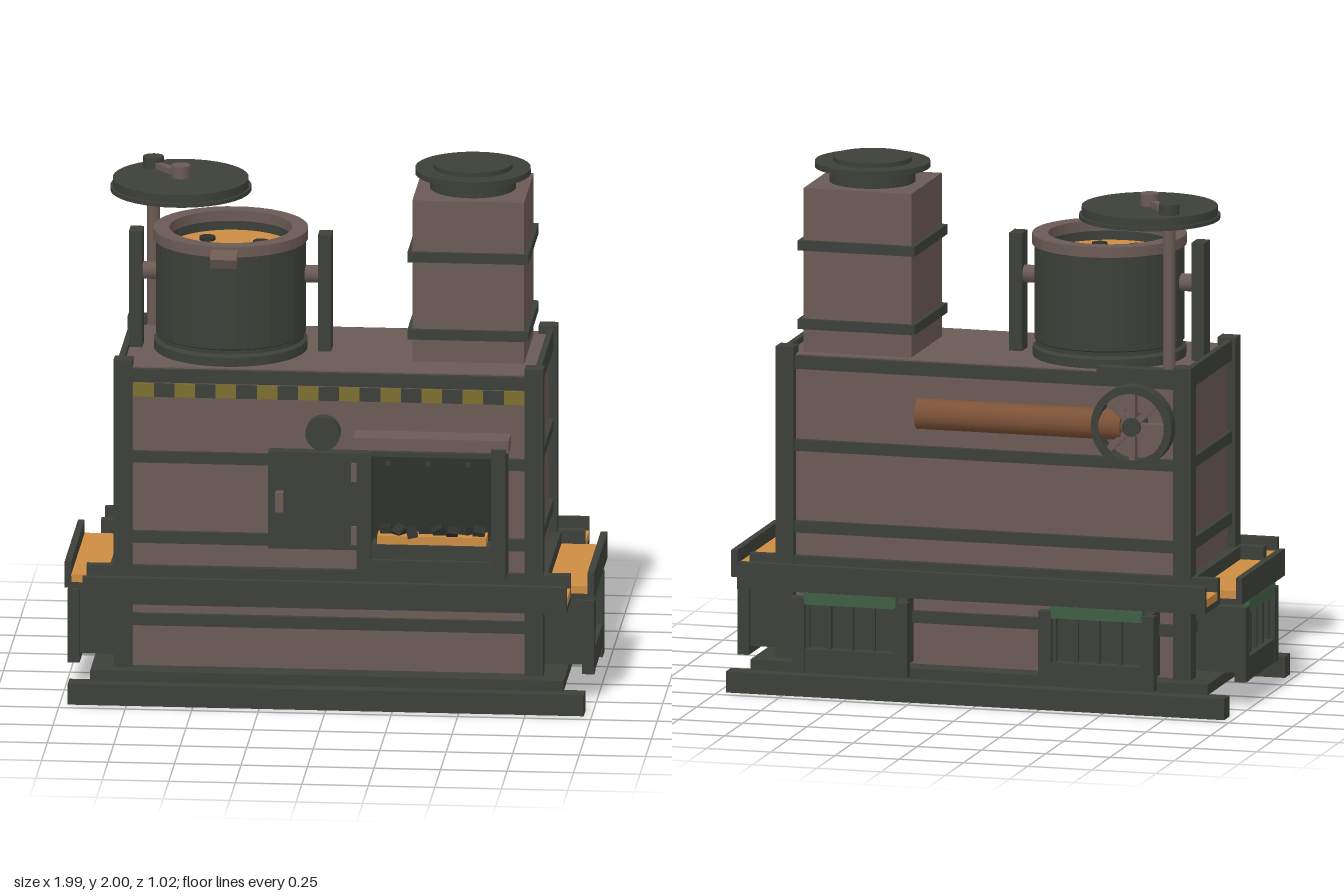
import * as THREE from 'three';

export function createModel() {
  const root = new THREE.Group();
  const mat = (name, color, side = THREE.FrontSide) => {
    const m = new THREE.MeshStandardMaterial({ color, side });
    m.name = name;
    return m;
  };
  const brown = mat('warm brown steel', 0x6b5a54);
  const dark = mat('dark iron', 0x3d4039);
  const orange = mat('molten orange', 0xcc8d42);
  const copper = mat('copper', 0x7c5137);
  const yellow = mat('hazard yellow', 0x7c702f);
  const green = mat('dull green', 0x3f5f43);
  const black = mat('coal', 0x2f312d);

  const add = (name, geo, m, x, y, z, parent = root) => {
    const mesh = new THREE.Mesh(geo, m);
    mesh.name = name;
    mesh.position.set(x, y, z);
    parent.add(mesh);
    return mesh;
  };
  // Box given by its minimum and maximum on each axis
  const box = (name, m, x0, x1, y0, y1, z0, z1, parent) =>
    add(name, new THREE.BoxGeometry(x1 - x0, y1 - y0, z1 - z0), m,
      (x0 + x1) / 2, (y0 + y1) / 2, (z0 + z1) / 2, parent);
  // Upright cylinder given by radius and height range
  const cyl = (name, m, r, x, y0, y1, z, parent, sides = 32) =>
    add(name, new THREE.CylinderGeometry(r, r, y1 - y0, sides), m, x, (y0 + y1) / 2, z, parent);

  // Base plate and skids
  box('basePlate', dark, -0.89, 0.89, 0.08, 0.12, -0.4, 0.4);
  for (const s of [-1, 1]) {
    const skid = box('skid', dark, -0.97, 0.97, 0, 0.08, -0.0375, 0.0375);
    skid.position.z = s * 0.4175;
  }

  // Furnace body, corner posts and bands
  box('body', brown, -0.775, 0.775, 0.12, 1.28, -0.31, 0.31);
  for (const x of [-0.773, 0.773]) for (const z of [-0.307, 0.307])
    add('cornerPost', new THREE.BoxGeometry(0.07, 1.19, 0.07), dark, x, 0.715, z);
  const bands = [[0.28, 0.325], [0.6, 0.645], [0.912, 0.955], [1.225, 1.275]];
  for (const [y0, y1] of bands) {
    for (const s of [-1, 1]) {
      const y = (y0 + y1) / 2;
      add('longBand', new THREE.BoxGeometry(1.48, y1 - y0, 0.022), dark, 0, y, s * 0.319);
      add('sideBand', new THREE.BoxGeometry(0.022, y1 - y0, 0.56), dark, s * 0.784, y, 0);
    }
    for (let i = 0; i < 10; i++) {
      const rivet = cyl('rivet', dark, 0.011, -0.675 + i * 0.15, 0, 0.01, 0, root, 8);
      rivet.rotation.x = Math.PI / 2;
      rivet.position.set(-0.675 + i * 0.15, (y0 + y1) / 2, 0.333);
    }
  }
  for (const s of [-1, 1])
    add('topRim', new THREE.BoxGeometry(0.022, 0.03, 0.56), dark, s * 0.784, 1.287, 0);

  // Hazard stripe
  for (let i = 0; i < 19; i++) {
    const x = -0.735 + i * 0.0774;
    box('hazardPatch', i % 2 ? dark : yellow, x, x + 0.0774, 1.165, 1.217, 0.31, 0.318);
  }

  // Casting troughs, open at their ends: local z points outwards
  const trough = (len, near, far, angle) => {
    const g = new THREE.Group();
    g.name = 'trough';
    g.rotation.y = angle;
    root.add(g);
    const h = len / 2;
    box('troughFloor', dark, -h, h, 0.41, 0.432, near, far, g);
    box('troughLip', dark, -h, h, 0.41, 0.512, far - 0.025, far, g);
    box('troughInnerWall', dark, -h, h, 0.41, 0.512, near - 0.025, near + 0.012, g);
    box('moltenMetal', orange, -h, h, 0.432, 0.462, near + 0.01, far - 0.024, g);
  };
  trough(1.82, 0.325, 0.51, 0);
  trough(1.82, 0.325, 0.51, Math.PI);
  trough(0.59, 0.81, 0.995, Math.PI / 2);
  trough(0.59, 0.81, 0.995, -Math.PI / 2);

  // Grated vent boxes: local z points outwards
  const vent = (cx, near, far, angle) => {
    const g = new THREE.Group();
    g.name = 'ventBox';
    g.rotation.y = angle;
    root.add(g);
    const f = far - 0.045;
    box('ventHousing', dark, cx - 0.2, cx + 0.2, 0.13, 0.38, near, f, g);
    for (const s of [-1, 1])
      add('ventPost', new THREE.BoxGeometry(0.05, 0.285, 0.045), dark, cx + s * 0.2, 0.2425, far - 0.0225, g);
    box('ventSill', dark, cx - 0.18, cx + 0.18, 0.1, 0.19, f, far - 0.002, g);
    box('ventHeader', green, cx - 0.18, cx + 0.18, 0.36, 0.405, f, far, g);
    for (let i = 0; i < 5; i++)
      add('ventBar', new THREE.BoxGeometry(0.018, 0.17, 0.02), dark, cx - 0.17 + i * 0.085, 0.275, f + 0.014, g);
  };
  vent(0, 0.78, 0.99, Math.PI / 2);
  vent(0, 0.78, 0.99, -Math.PI / 2);
  vent(-0.48, 0.3, 0.49, Math.PI);
  vent(0.48, 0.3, 0.49, Math.PI);

  // Opened door with rivets, handle and hinges
  box('door', dark, -0.225, 0.12, 0.6, 0.975, 0.31, 0.365);
  for (const y of [0.63, 0.94]) for (let i = 0; i < 4; i++) {
    const rivet = add('doorRivet', new THREE.CylinderGeometry(0.011, 0.011, 0.012, 8), dark, -0.18 + i * 0.08, y, 0.37);
    rivet.rotation.x = Math.PI / 2;
  }
  box('doorHandle', brown, -0.195, -0.165, 0.75, 0.825, 0.365, 0.4);
  for (const y of [0.66, 0.905]) box('hinge', brown, 0.09, 0.12, y - 0.035, y + 0.035, 0.365, 0.385);

  // Firebox frame with embers
  box('fireboxBack', black, 0.16, 0.63, 0.57, 1, 0.31, 0.335);
  box('fireboxPost', dark, 0.115, 0.17, 0.52, 1.0, 0.31, 0.445);
  box('fireboxPost', dark, 0.62, 0.675, 0.52, 1.02, 0.31, 0.445);
  box('fireboxSill', dark, 0.17, 0.62, 0.52, 0.585, 0.31, 0.445);
  box('fireboxTop', dark, 0.17, 0.62, 0.988, 1.005, 0.31, 0.445);
  box('grate', dark, 0.17, 0.62, 0.585, 0.64, 0.33, 0.425);
  box('embers', orange, 0.19, 0.6, 0.64, 0.672, 0.33, 0.415);
  for (let i = 0; i < 8; i++) {
    const coal = add('coal', new THREE.BoxGeometry(0.045, 0.03, 0.04), black, 0.22 + i * 0.05, 0.682, 0.36 + (i % 3) * 0.018);
    coal.rotation.set(i * 0.5, i * 0.9, 0.2);
  }
  box('hood', brown, 0.1, 0.685, 1.005, 1.052, 0.31, 0.42);

  // Pressure gauge
  const gauge = add('gauge', new THREE.CylinderGeometry(0.065, 0.065, 0.05, 24), dark, -0.02, 1.045, 0.33);
  gauge.rotation.x = Math.PI / 2;
  const face = add('gaugeFace', new THREE.CylinderGeometry(0.052, 0.052, 0.008, 24), dark, -0.02, 1.045, 0.358);
  face.rotation.x = Math.PI / 2;

  // Square chimney with bands and round cap
  const cx = 0.51, cz = -0.06;
  add('chimney', new THREE.BoxGeometry(0.42, 0.63, 0.42), brown, cx, 1.59, cz);
  for (const y of [1.388, 1.688]) add('chimneyBand', new THREE.BoxGeometry(0.455, 0.038, 0.455), dark, cx, y, cz);
  cyl('chimneyNeck', dark, 0.162, cx, 1.9, 1.965, cz);
  cyl('chimneyFlange', dark, 0.217, cx, 1.96, 1.982, cz);
  cyl('chimneyCap', dark, 0.148, cx, 1.98, 2, cz);

  // Crucible pot with molten metal
  const px = -0.395;
  const wall = [[0.288, 1.28], [0.288, 1.315], [0.275, 1.325], [0.275, 1.34], [0.282, 1.345], [0.282, 1.71], [0.232, 1.71], [0.232, 1.6]];
  const potGeo = new THREE.LatheGeometry(wall.map(p => new THREE.Vector2(...p)), 40).toNonIndexed();
  potGeo.computeVertexNormals();
  add('pot', potGeo, dark, px, 0, 0);
  const rim = new THREE.Shape().absarc(0, 0, 0.29, 0, Math.PI * 2);
  rim.holes.push(new THREE.Path().absarc(0, 0, 0.23, 0, Math.PI * 2, true));
  const rimMesh = add('potRim', new THREE.ExtrudeGeometry(rim, { depth: 0.04, bevelEnabled: false, curveSegments: 20 }), brown, px, 1.705, 0);
  rimMesh.rotation.x = -Math.PI / 2;
  cyl('potMetal', orange, 0.232, px, 1.63, 1.67, 0);
  for (const [x, z] of [[-0.285, -0.035], [-0.33, 0.095], [-0.47, 0.095], [-0.49, -0.08]])
    cyl('slag', black, 0.03, x, 1.66, 1.685, z, root, 8);
  const spout = add('spout', new THREE.BoxGeometry(0.1, 0.04, 0.07), brown, px, 1.705, 0.305);
  spout.rotation.x = 0.4;
  for (const s of [-1, 1]) {
    add('potBracket', new THREE.BoxGeometry(0.05, 0.45, 0.08), dark, px + s * 0.355, 1.505, 0);
    const pin = add('trunnion', new THREE.CylinderGeometry(0.034, 0.034, 0.1, 12), brown, px + s * 0.31, 1.57, 0);
    pin.rotation.z = Math.PI / 2;
  }

  // Lid swung aside on its post
  cyl('lidRim', dark, 0.265, -0.597, 1.843, 1.858, -0.16, root, 40);
  cyl('lid', dark, 0.255, -0.597, 1.858, 1.89, -0.16, root, 40);
  cyl('lidKnob', brown, 0.036, -0.597, 1.885, 1.937, -0.16, root, 12);
  cyl('lidPost', brown, 0.024, -0.712, 1.27, 1.9, -0.3, root, 12);
  cyl('lidPostCap', dark, 0.04, -0.712, 1.885, 1.93, -0.3, root, 12);
  const arm = add('lidArm', new THREE.BoxGeometry(0.03, 0.025, 0.19), brown, -0.655, 1.9, -0.23);
  arm.rotation.y = Math.atan2(0.115, 0.14);
  box('lidPostFoot', dark, -0.75, -0.44, 1.27, 1.3, -0.34, -0.29);

  // Blower pipe and spoked wheel on the back
  const pipe = add('blowerPipe', new THREE.CylinderGeometry(0.058, 0.058, 0.8, 24), copper, -0.155, 1.09, -0.372);
  pipe.rotation.z = Math.PI / 2;
  const wheel = new THREE.Group();
  wheel.name = 'blowerWheel';
  wheel.position.set(-0.6, 1.093, -0.4);
  root.add(wheel);
  const ring = new THREE.Shape().absarc(0, 0, 0.157, 0, Math.PI * 2);
  ring.holes.push(new THREE.Path().absarc(0, 0, 0.128, 0, Math.PI * 2, true));
  add('wheelRim', new THREE.ExtrudeGeometry(ring, { depth: 0.06, bevelEnabled: false, curveSegments: 16 }), dark, 0, 0, -0.03, wheel);
  for (let i = 0; i < 4; i++) {
    const spoke = add('spoke', new THREE.BoxGeometry(0.27, 0.025, 0.03), brown, 0, 0, 0, wheel);
    spoke.rotation.z = i * Math.PI / 4;
  }
  const hub = add('wheelHub', new THREE.CylinderGeometry(0.035, 0.035, 0.12, 16), dark, 0, 0, 0.025, wheel);
  hub.rotation.x = Math.PI / 2;
  return root;
}
